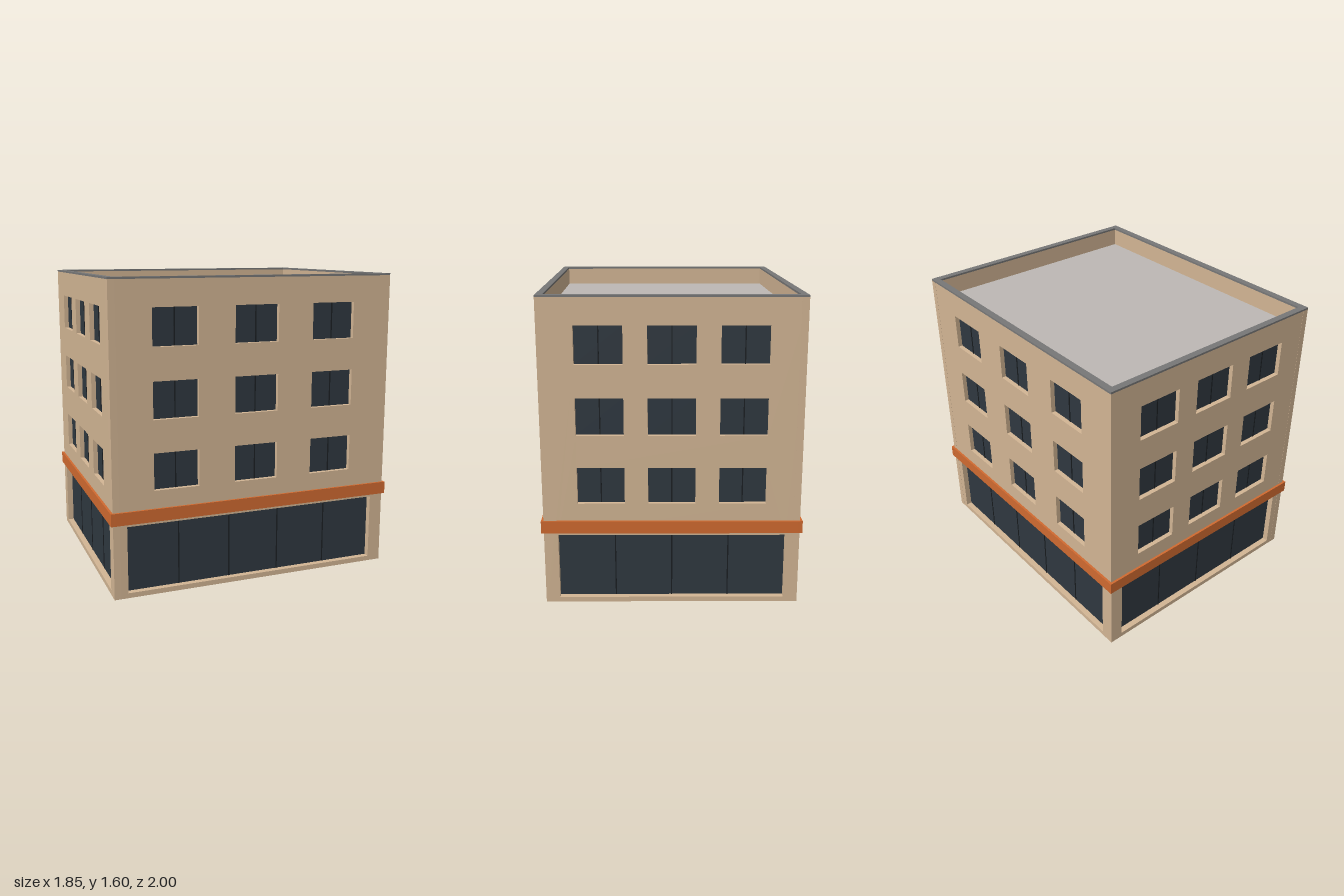
import * as THREE from 'three';

const mat = (name, color) => {
  const m = new THREE.MeshStandardMaterial({ color });
  m.name = name;
  return m;
};

export function createModel() {
  const wallMat = mat('tan wall', 0xd2b594);
  const glassMat = mat('dark glass', 0x2f3840);
  const barMat = mat('mullion black', 0x1a1e22);
  const bandMat = mat('orange band', 0xd06a30);
  const capMat = mat('coping grey', 0x777777);
  const roofMat = mat('roof grey', 0xbdb8b4);

  const building = new THREE.Group();
  building.name = 'building';

  // Footprint corners (x, z), in order round the block
  const corners = [[-0.911, 0.415], [0.267, 0.985], [0.909, -0.408], [-0.262, -0.983]];
  const HEIGHT = 1.595, CAP = 0.01, THICK = 0.035, OUT = 0.012;
  const BAND = [0.388, 0.453];
  const WIN_W = 0.238, WIN_H = 0.19, SIDE = 0.1175, SHOP_SIDE = 0.072;

  // Box given by its minimum and maximum corners
  const box = (parent, name, material, [x0, y0, z0], [x1, y1, z1]) => {
    const mesh = new THREE.Mesh(new THREE.BoxGeometry(x1 - x0, y1 - y0, z1 - z0), material);
    mesh.position.set((x0 + x1) / 2, (y0 + y1) / 2, (z0 + z1) / 2);
    mesh.name = name;
    parent.add(mesh);
  };

  const rect = (path, x0, y0, x1, y1) =>
    path.moveTo(x0, y0).lineTo(x1, y0).lineTo(x1, y1).lineTo(x0, y1).closePath();

  // One side of the block: local x runs along the wall, z points outward
  const facade = (length, panes) => {
    const g = new THREE.Group();
    g.name = 'facade';

    // Openings: one shopfront and three floors of three windows
    const openings = [{ name: 'shopfront', x0: SHOP_SIDE, x1: length - SHOP_SIDE, y0: 0.026, y1: 0.374, panes, depth: 0.032 }];
    const bay = (length - 2 * SIDE) / 3;
    for (let floor = 0; floor < 3; floor++) {
      for (let i = 0; i < 3; i++) {
        const cx = SIDE + bay * (i + 0.5), y0 = 0.545 + floor * 0.3575;
        openings.push({ name: 'window', x0: cx - WIN_W / 2, x1: cx + WIN_W / 2, y0, y1: y0 + WIN_H, panes: 2, depth: 0.024 });
      }
    }

    // Wall with the openings cut through
    const shape = new THREE.Shape();
    rect(shape, 0, 0, length, HEIGHT - CAP);
    for (const o of openings) {
      const hole = new THREE.Path();
      rect(hole, o.x0, o.y0, o.x1, o.y1);
      shape.holes.push(hole);
    }
    const geo = new THREE.ExtrudeGeometry(shape, { depth: THICK, bevelEnabled: false });
    geo.translate(0, 0, -THICK);
    const wall = new THREE.Mesh(geo, wallMat);
    wall.name = 'wall';
    g.add(wall);

    // Recessed glass and its mullions
    for (const o of openings) {
      box(g, o.name + 'Glass', glassMat, [o.x0, o.y0, -o.depth - 0.009], [o.x1, o.y1, -o.depth]);
      for (let k = 1; k < o.panes; k++) {
        const x = o.x0 + ((o.x1 - o.x0) * k) / o.panes;
        box(g, o.name + 'Mullion', barMat, [x - 0.003, o.y0, -o.depth - 0.002], [x + 0.003, o.y1, -o.depth + 0.003]);
      }
    }

    // Projecting band above the shopfront and coping on the parapet
    box(g, 'band', bandMat, [-OUT, BAND[0], -0.01], [length + OUT, BAND[1], OUT]);
    box(g, 'coping', capMat, [0, HEIGHT - CAP, -THICK], [length, HEIGHT, 0]);
    return g;
  };

  corners.forEach(([x, z], i) => {
    const [nx, nz] = corners[(i + 1) % 4];
    const side = facade(Math.hypot(nx - x, nz - z), i % 2 ? 5 : 4);
    side.position.set(x, 0, z);
    side.rotation.y = Math.atan2(z - nz, nx - x);
    building.add(side);
  });

  // Flat roof sunk behind the parapet
  const plan = new THREE.Shape(corners.map(([x, z]) => new THREE.Vector2(x * 0.98, -z * 0.98)));
  const roofGeo = new THREE.ExtrudeGeometry(plan, { depth: 0.02, bevelEnabled: false });
  roofGeo.rotateX(-Math.PI / 2);
  const roof = new THREE.Mesh(roofGeo, roofMat);
  roof.position.y = 1.47;
  roof.name = 'roof';
  building.add(roof);

  return building;
}
